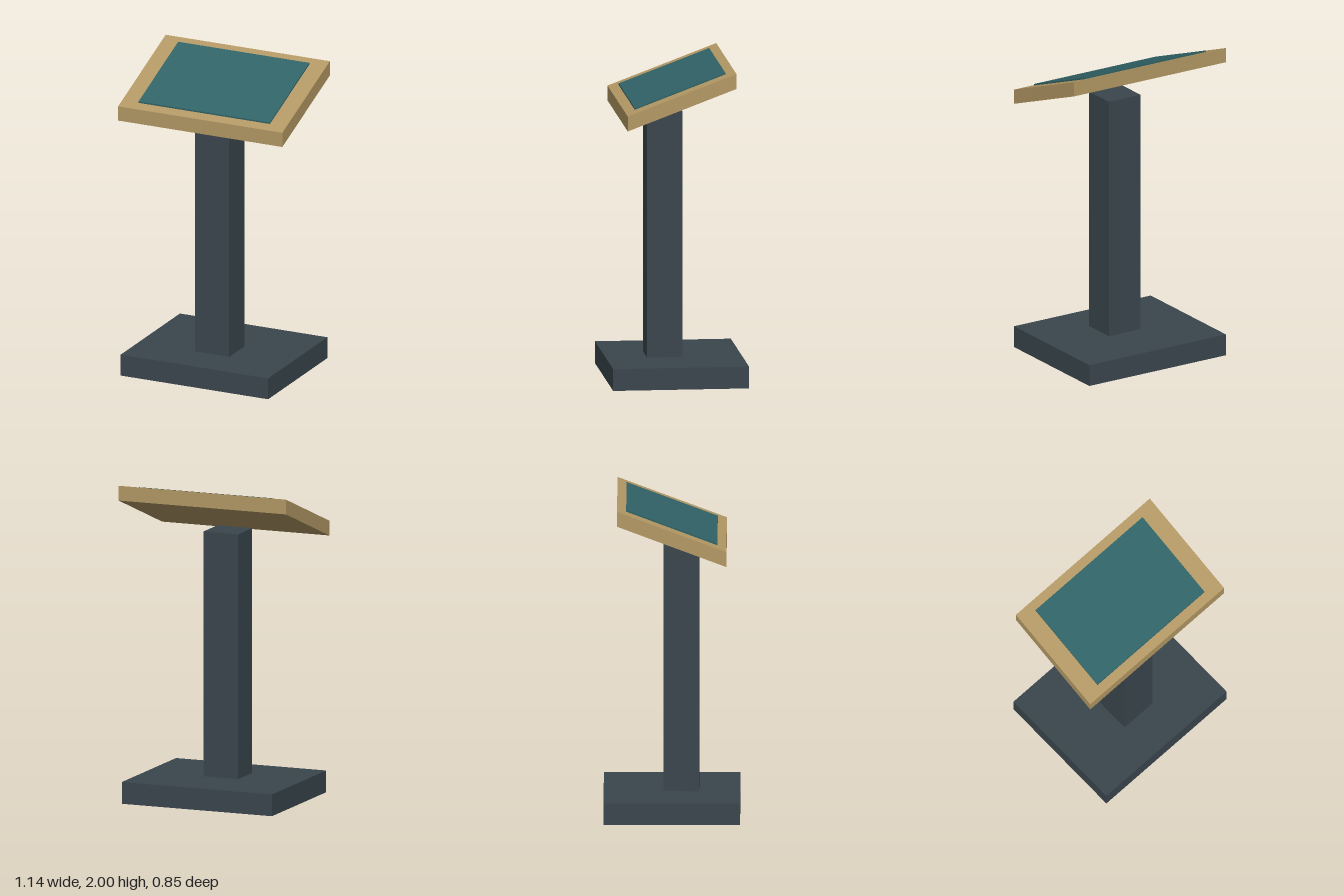
import * as THREE from 'three';

const SLOPE = 0.375; // rise of the desk per unit of depth, towards the back

export function createModel() {
  const group = new THREE.Group();
  const material = (name, color) => {
    const m = new THREE.MeshStandardMaterial({ color });
    m.name = name;
    return m;
  };
  const slate = material('slate', 0x3a464d);
  const wood = material('wood', 0xb39864);
  const teal = material('teal', 0x306367);

  // Box from its size and centre; a slope shears it so its sides stay upright
  const addBox = (name, mat, [w, h, d], [x, y, z], slope = 0) => {
    const geo = new THREE.BoxGeometry(w, h, d);
    const p = geo.attributes.position;
    for (let i = 0; i < p.count; i++) p.setY(i, p.getY(i) - slope * p.getZ(i));
    geo.computeVertexNormals();
    const mesh = new THREE.Mesh(geo, mat);
    mesh.name = name;
    mesh.position.set(x, y, z);
    group.add(mesh);
  };

  // Stand
  addBox('base', slate, [1.02, 0.138, 0.852], [0, 0.069, 0]);
  addBox('post', slate, [0.236, 1.555, 0.222], [0, 0.915, 0.059]);

  // Sloping desk with its inset panel
  addBox('desk', wood, [1.136, 0.094, 0.682], [0, 1.825, 0], SLOPE);
  addBox('panel', teal, [0.908, 0.0099, 0.568], [0, 1.878, 0], SLOPE);

  return group;
}
